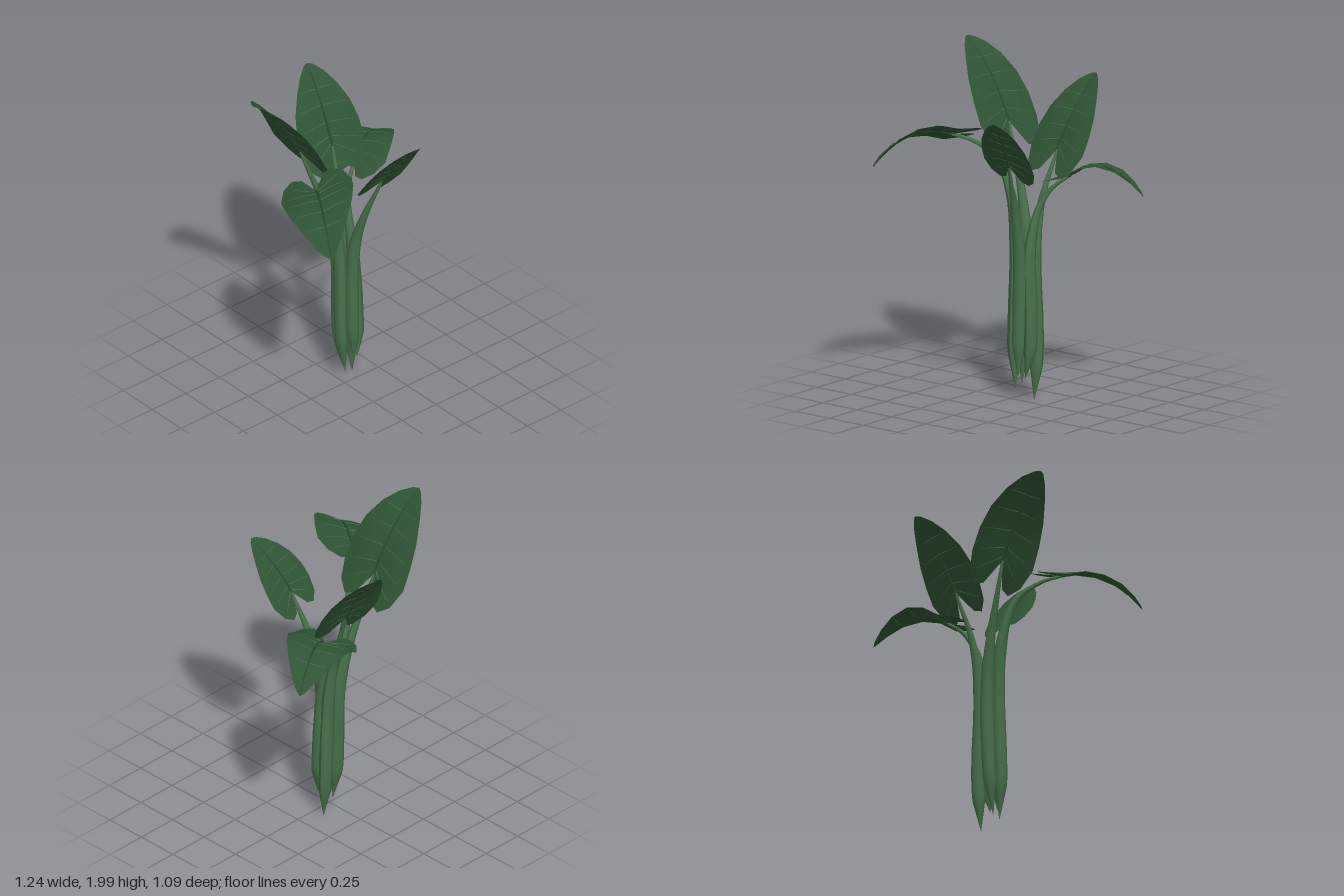
import * as THREE from 'three';

const V = (p) => new THREE.Vector3(...p);
const stalkMat = new THREE.MeshStandardMaterial({ color: 0x47704a });
const leafMat = new THREE.MeshStandardMaterial({ color: 0x2f5434, side: THREE.DoubleSide });
const ribMat = new THREE.MeshStandardMaterial({ color: 0x2a482d });
const veinMat = new THREE.MeshStandardMaterial({ color: 0x44704a });

// Each plant shoot: stalk path up to the blade joint, midrib bend, tip, blade normal
const SHOOTS = [
  { name: 'backRight',
    path: [[0.03, 0.08, -0.06], [0.03, 0.3, -0.09], [0.03, 0.85, -0.11], [-0.03, 1.15, -0.14], [-0.11, 1.38, -0.17], [-0.17, 1.55, -0.19]],
    bend: [-0.3, 1.85, -0.2], tip: [-0.5, 1.99, -0.22], normal: [0.77, 0.63, 0] },
  { name: 'back',
    path: [[0.115, 0, -0.07], [0.12, 0.28, -0.09], [0.1, 0.85, -0.1], [0.1, 1.15, -0.16], [0.13, 1.42, -0.26]],
    bend: [0.15, 1.65, -0.37], tip: [0.18, 1.82, -0.54], normal: [-0.1, 0.5, 0.8] },
  { name: 'left',
    path: [[0.1, 0.13, -0.01], [0.12, 0.3, -0.03], [0.115, 0.55, -0.04], [0.1, 0.85, -0.05], [0.115, 1.1, -0.11], [0.17, 1.22, -0.16], [0.25, 1.29, -0.21]],
    bend: [0.43, 1.475, -0.3], tip: [0.64, 1.2, -0.4], normal: [0.1, 1, -0.25] },
  { name: 'frontRight',
    path: [[0.02, 0.06, -0.02], [0, 0.3, -0.03], [0, 0.85, -0.05], [-0.05, 1.15, -0.07], [-0.13, 1.38, -0.03], [-0.24, 1.48, 0.06], [-0.32, 1.51, 0.13]],
    bend: [-0.46, 1.61, 0.34], tip: [-0.56, 1.36, 0.54], normal: [-0.35, 1, -0.2] },
  { name: 'front',
    path: [[0.065, 0.14, 0.01], [0.06, 0.3, 0], [0.065, 0.85, 0], [0.08, 1.1, 0.06], [0.13, 1.4, 0.17]],
    bend: [0.16, 1.57, 0.27], tip: [0.22, 1.7, 0.4], normal: [0, 0.6, -0.78] },
];

// Half-outline of a heart-shaped blade: midrib station, edge along, edge across
const OUTLINE = [
  [0, -0.02, 0.02], [0, -0.28, 0.13], [0.01, -0.33, 0.24], [0.04, -0.22, 0.36], [0.12, 0, 0.43],
  [0.28, 0.22, 0.42], [0.48, 0.45, 0.37], [0.68, 0.68, 0.27], [0.86, 0.86, 0.16], [0.96, 0.97, 0.06], [1, 1, 0],
];
// Stalk radius along its length: pointed foot, full sheath, thin neck
const STALK = [[0, 0.001], [0.13, 0.037], [0.35, 0.04], [0.57, 0.036], [0.75, 0.023], [0.88, 0.014], [1, 0.008]];

function radiusAt(u) {
  const i = Math.max(1, STALK.findIndex(([k]) => u <= k + 1e-6));
  const [u0, r0] = STALK[i - 1], [u1, r1] = STALK[i];
  return THREE.MathUtils.mapLinear(u, u0, u1, r0, r1);
}

// Tube whose rings are scaled by a radius rule
function taperedTube(curve, rings, sides, radius) {
  const geo = new THREE.TubeGeometry(curve, rings, 1, sides);
  const pos = geo.attributes.position, p = new THREE.Vector3();
  for (let i = 0; i <= rings; i++) {
    const c = curve.getPointAt(i / rings), r = radius(i / rings);
    for (let j = 0; j <= sides; j++) {
      const k = i * (sides + 1) + j;
      p.fromBufferAttribute(pos, k).sub(c).multiplyScalar(r).add(c);
      pos.setXYZ(k, p.x, p.y, p.z);
    }
  }
  geo.computeVertexNormals();
  return geo;
}

// Maps blade coordinates (along, across) onto the bent, slightly folded leaf
function bladeMap(midrib, normalHint) {
  const chord = midrib.v2.clone().sub(midrib.v0);
  const length = chord.length();
  const dir = chord.normalize();
  const side = dir.clone().cross(normalHint).normalize();
  const normal = side.clone().cross(dir).normalize();
  const back = midrib.getTangent(0).add(dir).normalize();
  return (a, b, lift = 0) => {
    const p = a >= 0 ? midrib.getPoint(Math.min(a, 1)) : midrib.v0.clone().addScaledVector(back, a * length);
    const fold = 0.2 * Math.abs(b) - 0.45 * b * b;
    return p.addScaledVector(side, b * length).addScaledVector(normal, fold * length + lift);
  };
}

function bladeGeometry(map) {
  const pos = [], idx = [], N = 4, row = 2 * N + 1;
  OUTLINE.forEach(([m, a, b], i) => {
    for (let j = -N; j <= N; j++) {
      const t = Math.abs(j) / N;
      pos.push(...map(m + (a - m) * t, (b * j) / N).toArray());
    }
    if (i === 0) return;
    for (let j = 0; j < row - 1; j++) {
      const q = i * row + j, o = q - row;
      idx.push(o, o + 1, q, o + 1, q + 1, q);
    }
  });
  const geo = new THREE.BufferGeometry();
  geo.setAttribute('position', new THREE.Float32BufferAttribute(pos, 3));
  geo.setIndex(idx);
  geo.computeVertexNormals();
  return geo;
}

export function createModel() {
  const plant = new THREE.Group();
  plant.name = 'plant';
  for (const s of SHOOTS) {
    const shoot = new THREE.Group();
    shoot.name = s.name + 'Shoot';
    const add = (name, geo, mat) => {
      const mesh = new THREE.Mesh(geo, mat);
      mesh.name = name;
      shoot.add(mesh);
    };

    // Stalk
    const points = s.path.map(V);
    add('stalk', taperedTube(new THREE.CatmullRomCurve3(points), 32, 8, radiusAt), stalkMat);

    // Leaf blade and midrib
    const midrib = new THREE.QuadraticBezierCurve3(points.at(-1), V(s.bend), V(s.tip));
    const map = bladeMap(midrib, V(s.normal));
    add('leafBlade', bladeGeometry(map), leafMat);
    add('midrib', taperedTube(midrib, 14, 6, (u) => 0.008 - 0.0065 * u), ribMat);

    // Side veins, mirrored across the midrib
    for (const [m, a, b] of OUTLINE.slice(3, 8)) {
      for (const sign of [-1, 1]) {
        const vein = new THREE.CatmullRomCurve3([0.05, 0.3, 0.55, 0.8].map((t) =>
          map(m + (a - m) * t, sign * b * t, 0.001)));
        add('sideVein', taperedTube(vein, 6, 4, (u) => 0.0035 - 0.002 * u), veinMat);
      }
    }
    plant.add(shoot);
  }
  return plant;
}
